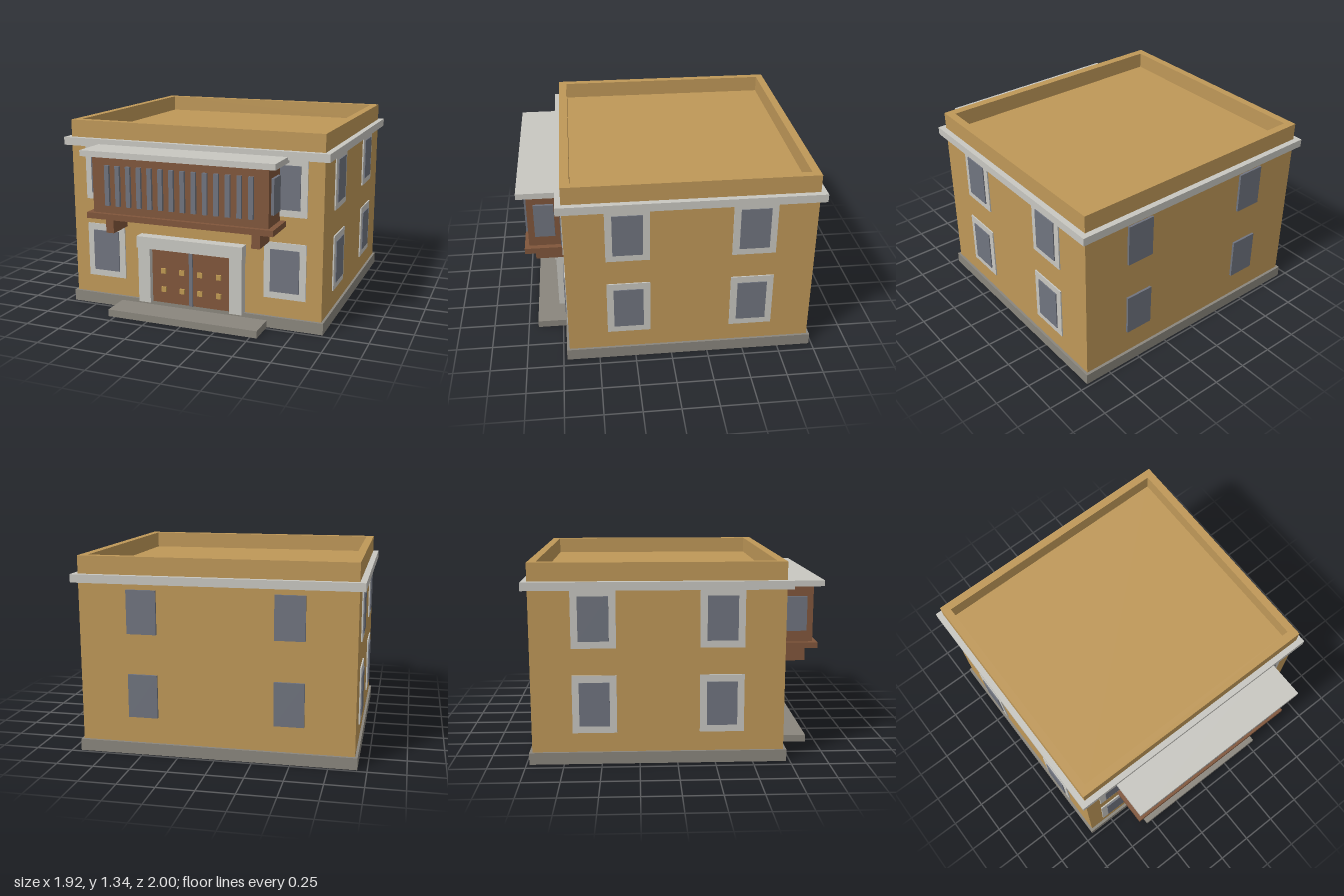
import * as THREE from 'three';

const material = (name, color) => {
  const m = new THREE.MeshStandardMaterial({ color });
  m.name = name;
  return m;
};

export function createModel() {
  const ochre = material('ochre plaster', 0xbf9858);
  const stone = material('pale stone', 0xc8c7c1);
  const plinthGrey = material('plinth grey', 0x8a867d);
  const wood = material('brown wood', 0x80563b);
  const slate = material('slate glass', 0x70747f);
  const brass = material('brass', 0xc09a52);

  const model = new THREE.Group();
  model.name = 'townHouse';

  // Box given by its limits on each axis
  const box = (name, mat, x0, x1, y0, y1, z0, z1, parent = model) => {
    const mesh = new THREE.Mesh(new THREE.BoxGeometry(x1 - x0, y1 - y0, z1 - z0), mat);
    mesh.position.set((x0 + x1) / 2, (y0 + y1) / 2, (z0 + z1) / 2);
    mesh.name = name;
    parent.add(mesh);
    return mesh;
  };
  const group = (name) => {
    const g = new THREE.Group();
    g.name = name;
    model.add(g);
    return g;
  };

  const W = 0.92, FRONT = 0.705, BACK = -0.96;

  // Main block
  box('plinth', plinthGrey, -0.937, 0.937, 0, 0.08, -0.98, 0.725);
  box('frontStep', plinthGrey, -0.548, 0.548, 0, 0.05, 0.7, 0.93);
  box('walls', ochre, -W, W, 0.08, 1.219, BACK, FRONT);
  box('cornice', stone, -0.96, 0.96, 1.16, 1.215, -1, 0.745);

  // Parapet ring around the flat roof
  const ring = new THREE.Shape([[-W, -FRONT], [W, -FRONT], [W, -BACK], [-W, -BACK]]
    .map(([x, y]) => new THREE.Vector2(x, y)));
  ring.holes.push(new THREE.Path([[-0.865, -0.645], [-0.865, 0.905], [0.865, 0.905], [0.865, -0.645]]
    .map(([x, y]) => new THREE.Vector2(x, y))));
  const parapet = new THREE.Mesh(
    new THREE.ExtrudeGeometry(ring, { depth: 0.12, bevelEnabled: false }).rotateX(-Math.PI / 2), ochre);
  parapet.position.y = 1.215;
  parapet.name = 'parapet';
  model.add(parapet);

  // Window facing local +z with its wall plane at z = 0
  const addWindow = (x, y, z, turn, framed) => {
    const w = group('window');
    if (framed) box('windowFrame', stone, -0.146, 0.146, -0.194, 0.194, -0.01, 0.009, w);
    box('windowPane', slate, -0.1, 0.1, -0.147, 0.147, -0.01, 0.016, w);
    w.position.set(x, y, z);
    w.rotation.y = turn;
  };
  for (const y of [0.405, 0.973]) {
    for (const s of [-1, 1]) {
      addWindow(s * 0.665, y, FRONT, 0, true);
      addWindow(s * 0.49, y, BACK, Math.PI, false);
      for (const z of [0.292, -0.545]) addWindow(s * W, y, z, s * Math.PI / 2, true);
    }
  }

  // Doorway: posts, lintel, two studded leaves and a centre strip
  const door = group('doorway');
  box('doorLintel', stone, -0.39, 0.39, 0.477, 0.56, 0.69, 0.785, door);
  box('doorStrip', slate, -0.013, 0.013, 0.08, 0.477, 0.69, 0.745, door);
  for (const s of [-1, 1]) {
    const span = (a, b) => (s > 0 ? [a, b] : [-b, -a]);
    box('doorPost', stone, ...span(0.295, 0.385), 0.08, 0.48, 0.69, 0.775, door);
    box('doorLeaf', wood, ...span(0.01, 0.297), 0.08, 0.478, 0.69, 0.735, door);
    for (const x of [0.067, 0.206])
      for (const y of [0.18, 0.315])
        box('doorStud', brass, ...span(x - 0.018, x + 0.018), y - 0.018, y + 0.018, 0.73, 0.748, door);
  }

  // Enclosed wooden balcony
  const balcony = group('balcony');
  box('balconyBody', wood, -0.625, 0.625, 0.75, 1.14, 0.7, 0.94, balcony);
  box('balconyFloor', wood, -0.665, 0.665, 0.71, 0.75, 0.7, 0.97, balcony);
  box('balconyRoof', stone, -0.685, 0.685, 1.14, 1.18, 0.7, 1, balcony);
  for (const s of [-1, 1]) {
    box('balconyBracket', wood, s * 0.527 - 0.029, s * 0.527 + 0.029, 0.6, 0.7, 0.7, 0.905, balcony);
    box('balconySidePane', slate, s * 0.632 - 0.012, s * 0.632 + 0.012, 0.828, 1.065, 0.76, 0.895, balcony);
  }
  for (let i = 0; i < 14; i++) {
    const x = (i - 6.5) * 0.0785;
    box('balconySlat', slate, x - 0.016, x + 0.016, 0.805, 1.08, 0.93, 0.96, balcony);
  }

  return model;
}
